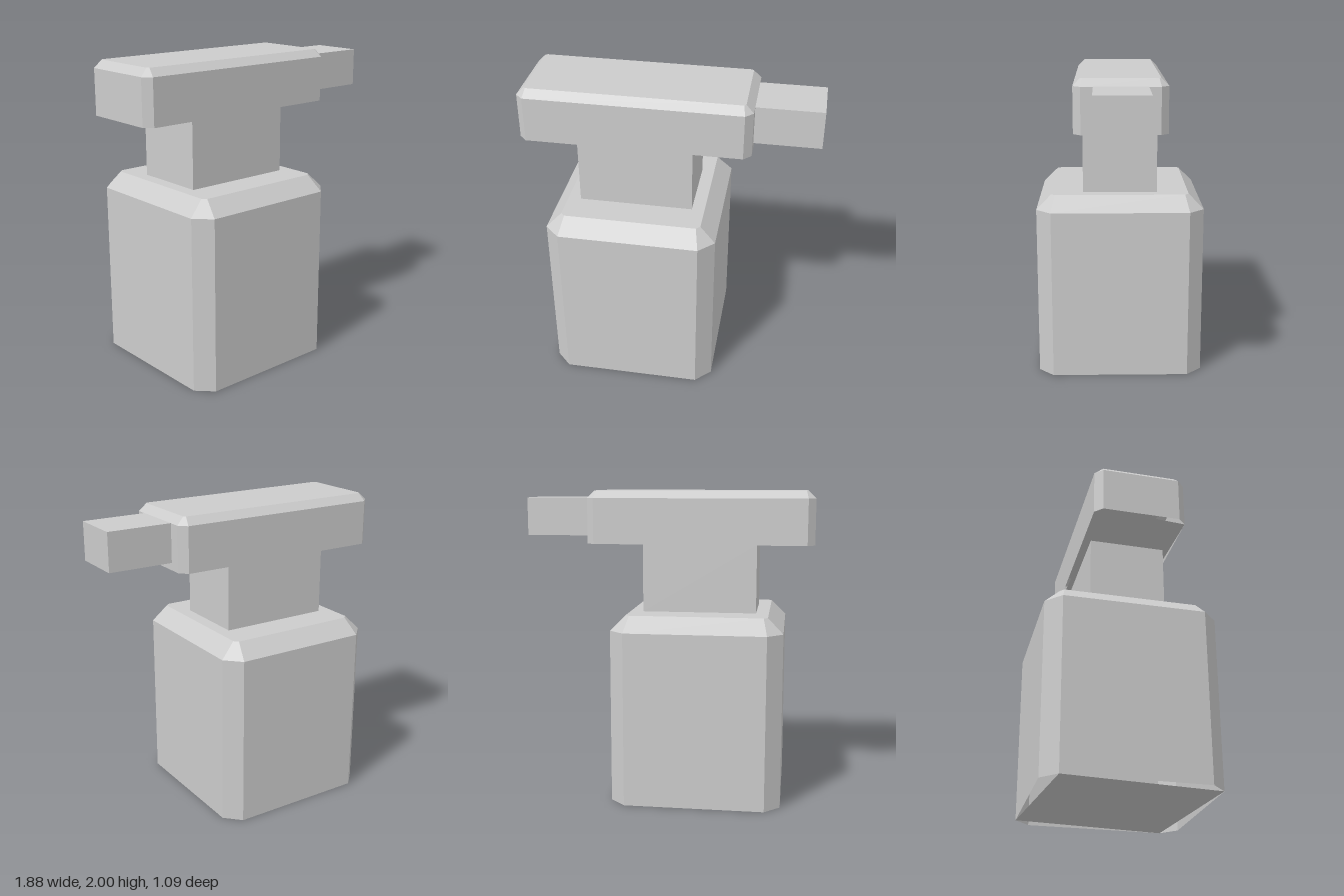
import * as THREE from 'three';

const grey = new THREE.MeshStandardMaterial({ color: 0xcccccc });
grey.name = 'plain grey';
grey.side = THREE.DoubleSide; // the bevelled shells are open under their edges
grey.flatShading = true;

// Eight-sided ring: a rectangle with cut corners, counter-clockwise from above
function ring(hx, hz, cut, y) {
  const ix = hx - cut, iz = hz - cut;
  return [[hx, iz], [hx, -iz], [ix, -hz], [-ix, -hz], [-hx, -iz], [-hx, iz], [-ix, hz], [ix, hz]]
    .map(([x, z]) => [x, y, z]);
}

// Block with chamfered upright corners and top edge; its underside is one
// four-cornered face joining every second corner
function bevelledBlock(hx, hz, height, bevel) {
  const rings = [
    ring(hx, hz, bevel, 0),
    ring(hx, hz, bevel, height - bevel),
    ring(hx - bevel, hz - bevel, bevel * 0.26, height),
  ];
  const index = [];
  for (let r = 0; r < 2; r++) {
    for (let i = 0; i < 8; i++) {
      const a = r * 8 + i, b = r * 8 + (i + 1) % 8;
      index.push(a, b, b + 8, a, b + 8, a + 8);
    }
  }
  for (let i = 1; i < 7; i++) index.push(16, 16 + i, 17 + i); // top
  index.push(0, 6, 4, 0, 4, 2); // underside
  const geometry = new THREE.BufferGeometry();
  geometry.setAttribute('position', new THREE.Float32BufferAttribute(rings.flat(2), 3));
  geometry.setIndex(index);
  const flat = geometry.toNonIndexed();
  flat.computeVertexNormals();
  return flat;
}

export function createModel() {
  const model = new THREE.Group();
  model.name = 'pumpBottle';
  const add = (name, geometry, x, y) => {
    const mesh = new THREE.Mesh(geometry, grey);
    mesh.name = name;
    mesh.position.set(x, y, 0);
    model.add(mesh);
  };

  add('bottleBody', bevelledBlock(0.547, 0.547, 1.222, 0.098), -0.211, 0);
  add('neck', new THREE.BoxGeometry(0.733, 0.44, 0.486), -0.211, 1.442);
  add('pumpHead', bevelledBlock(0.73, 0.293, 0.34, 0.048), -0.211, 1.66);
  add('spout', new THREE.BoxGeometry(0.42, 0.246, 0.336), 0.729, 1.83);
  return model;
}
